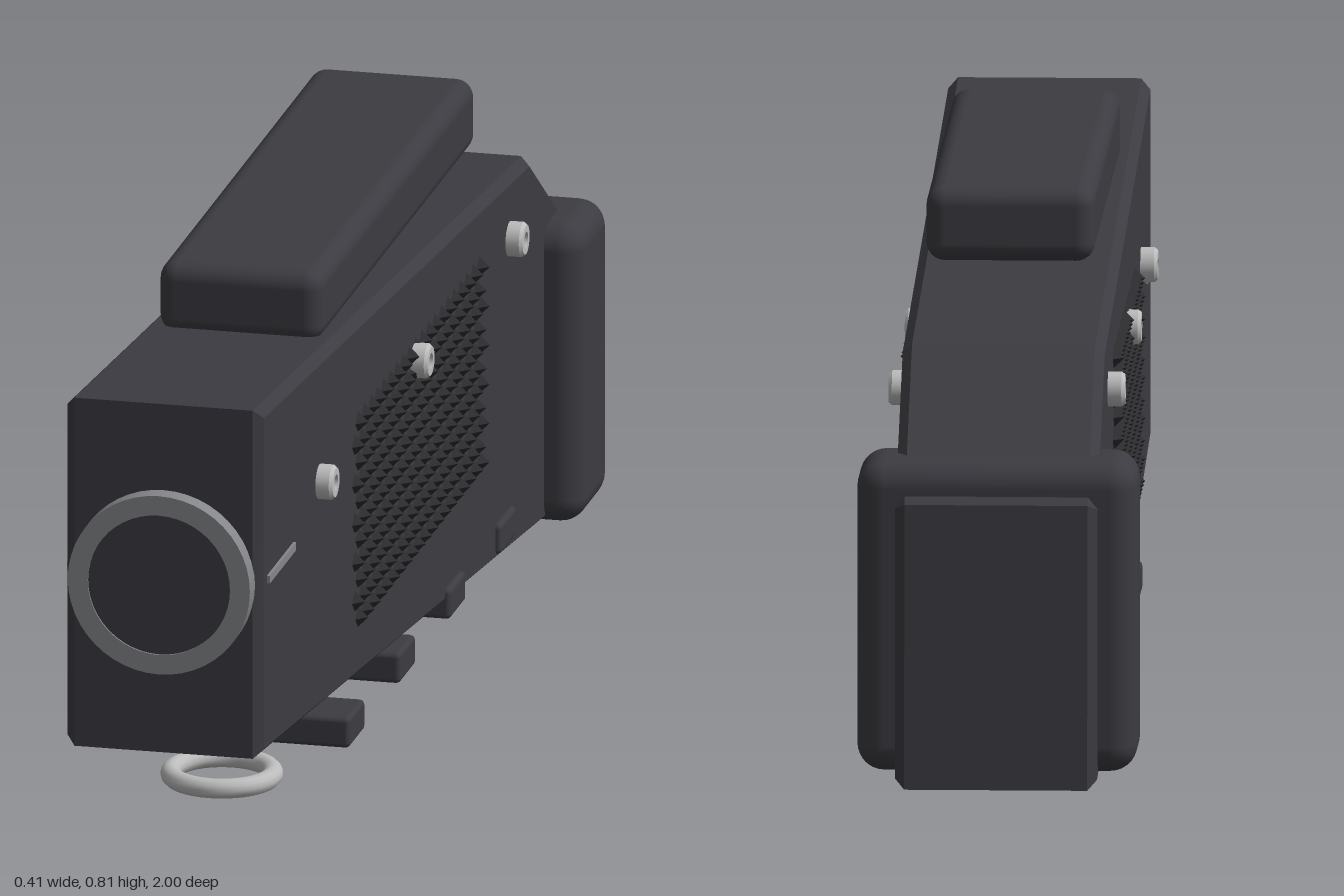
import * as THREE from 'three';
import { mergeGeometries } from 'three/addons/utils/BufferGeometryUtils.js';
import { RoundedBoxGeometry } from 'three/addons/geometries/RoundedBoxGeometry.js';

const material = (name, color) => {
  const m = new THREE.MeshStandardMaterial({ color });
  m.name = name;
  return m;
};

export function createModel() {
  const model = new THREE.Group();
  model.name = 'model';
  const shell = material('charcoal shell', 0x3c3b41);
  const dark = material('dark grille', 0x2c2c30);
  const grey = material('grey metal', 0x85868a);
  const steel = material('light steel', 0xbcbcbc);

  const add = (name, geometry, mat, x = 0, y = 0, z = 0) => {
    const mesh = new THREE.Mesh(geometry, mat);
    mesh.name = name;
    mesh.position.set(x, y, z);
    model.add(mesh);
    return mesh;
  };

  // Wedge-shaped housing: side outline as [z, y], extruded across x with bevelled edges
  const outline = [[0.97, 0.22], [0.97, 0.755], [-0.71, 0.62], [-0.99, 0.425], [-1, 0.005]];
  const bevel = 0.014;
  const width = 0.296;
  const body = new THREE.ExtrudeGeometry(
    new THREE.Shape(outline.map(([z, y]) => new THREE.Vector2(-z, y))),
    { depth: width - 2 * bevel, bevelEnabled: true, bevelThickness: bevel, bevelSize: bevel, bevelOffset: -bevel, bevelSegments: 1 }
  );
  body.translate(0, 0, -(width / 2 - bevel));
  body.rotateY(Math.PI / 2);
  add('body', body, shell);

  // Soft pads on the top and around the rear end
  add('topPad', new RoundedBoxGeometry(0.246, 0.11, 0.98, 4, 0.027), shell, 0, 0.76, 0.01);
  add('rearPad', new RoundedBoxGeometry(0.41, 0.46, 0.18, 4, 0.04), shell, 0, 0.255, -0.885);

  // Muzzle collar with its dark centre
  const collar = new THREE.LatheGeometry(
    [[0.107, 0], [0.137, 0], [0.137, 0], [0.137, 0.035], [0.137, 0.035], [0.107, 0.035], [0.107, 0.035], [0.107, 0]]
      .map(([r, h]) => new THREE.Vector2(r, h)), 48);
  collar.rotateX(Math.PI / 2);
  add('muzzleCollar', collar, grey, 0, 0.486, 0.965);
  const core = new THREE.CylinderGeometry(0.107, 0.107, 0.032, 48);
  core.rotateX(Math.PI / 2);
  add('muzzleCore', core, shell, 0, 0.486, 0.981);

  // Socket screw, lying along +x
  const screw = new THREE.LatheGeometry(
    [[0.026, 0], [0.026, 0.03], [0.026, 0.03], [0.022, 0.035], [0.022, 0.035], [0.012, 0.035],
      [0.012, 0.035], [0.012, 0.025], [0.012, 0.025], [0, 0.025]].map(([r, h]) => new THREE.Vector2(r, h)), 20);
  screw.rotateZ(-Math.PI / 2);

  // Staggered grille studs, shared by both sides
  const studs = [];
  for (let row = 0; row < 11; row++) {
    for (let col = 0; col < 20; col++) {
      const stud = new THREE.OctahedronGeometry(0.016);
      stud.translate(0, 0.252 + row * 0.03, -0.39 + col * 0.04 + (row % 2) * 0.02);
      studs.push(stud);
    }
  }
  const grille = mergeGeometries(studs);

  for (const side of [1, -1]) {
    const label = side > 0 ? 'left' : 'right';
    for (const z of [0.61, 0.015, -0.58]) {
      const head = add(`${label}Screw`, screw, steel, side * 0.138, 0.535, z);
      if (side < 0) head.rotation.y = Math.PI;
    }
    add(`${label}Grille`, grille, dark, side * 0.148);
    add(`${label}Slit`, new THREE.BoxGeometry(0.009, 0.012, 0.165), grey, side * 0.148, 0.487, 0.857);
  }

  // Cross bars of the lower rail
  const bar = new RoundedBoxGeometry(0.313, 0.047, 0.1, 2, 0.008);
  for (const z of [0.407, 0.09, -0.225, -0.543]) add('railBar', bar, shell, 0, 0.099, z);

  // Sling ring below the front
  const ring = new THREE.TorusGeometry(0.075, 0.015, 12, 40);
  ring.rotateX(Math.PI / 2);
  add('slingRing', ring, steel, 0, 0.074, 0.605);

  return model;
}
